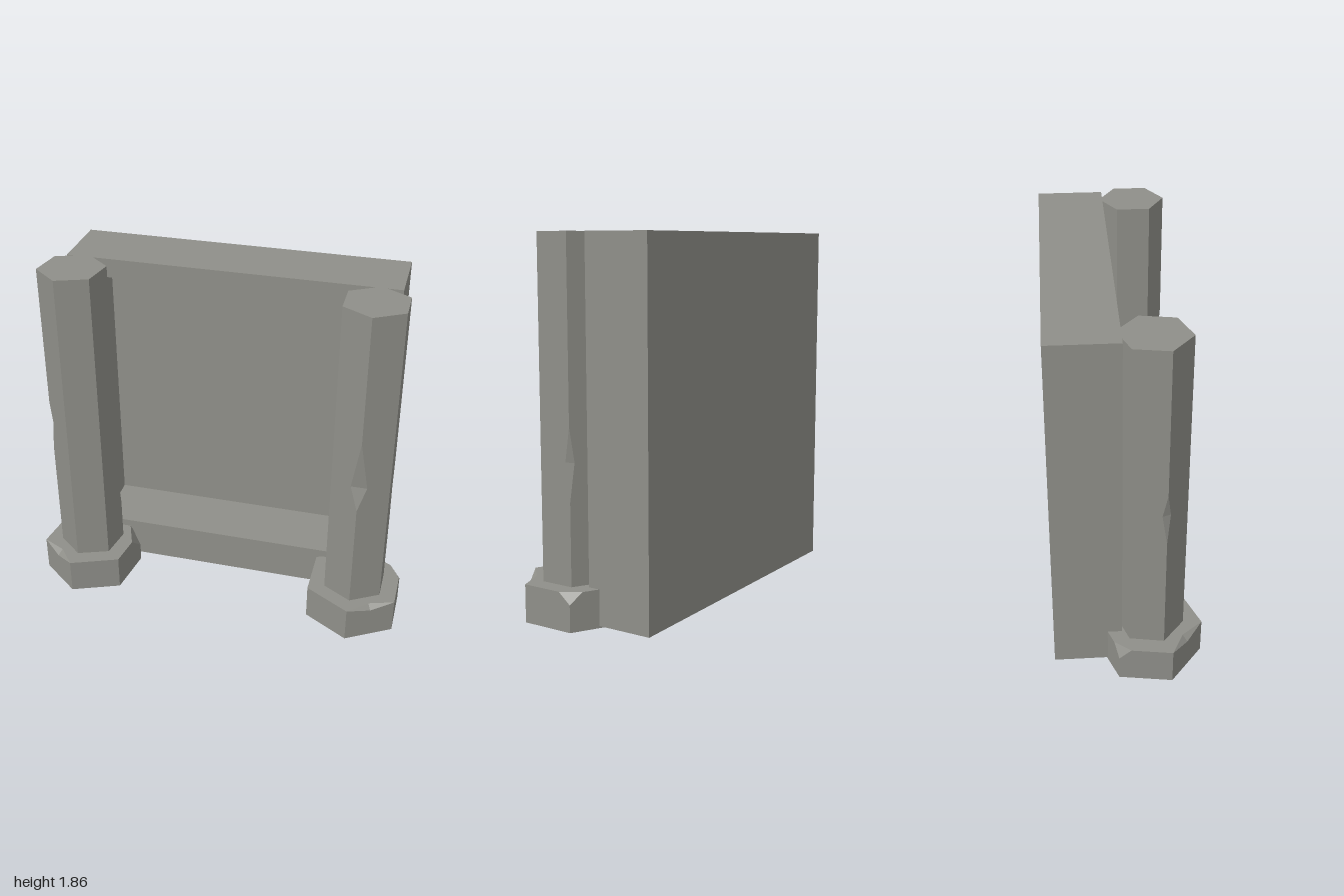
import * as THREE from 'three';

const stone = new THREE.MeshStandardMaterial({ color: 0x8f8f89, flatShading: true });
stone.name = 'grey stone';

// Skin a stack of equal-length rings (counter-clockwise from above) and cap both ends
function loft(name, rings) {
  const pos = [];
  const tri = (a, b, c) => {
    const area = b.clone().sub(a).cross(c.clone().sub(a)).length();
    if (area > 1e-7) for (const p of [a, b, c]) pos.push(p.x, p.y, p.z);
  };
  const n = rings[0].length;
  const centre = (r) => r.reduce((s, p) => s.add(p), new THREE.Vector3()).divideScalar(n);
  const low = rings[0], high = rings[rings.length - 1];
  const cLow = centre(low), cHigh = centre(high);
  for (let i = 0; i < n; i++) {
    const j = (i + 1) % n;
    for (let k = 0; k + 1 < rings.length; k++) {
      tri(rings[k][i], rings[k][j], rings[k + 1][j]);
      tri(rings[k][i], rings[k + 1][j], rings[k + 1][i]);
    }
    tri(cHigh, high[i], high[j]);
    tri(cLow, low[j], low[i]);
  }
  const geo = new THREE.BufferGeometry();
  geo.setAttribute('position', new THREE.Float32BufferAttribute(pos, 3));
  geo.computeVertexNormals();
  const mesh = new THREE.Mesh(geo, stone);
  mesh.name = name;
  return mesh;
}

// Corner k of a hexagon, k = 0 facing the front
function hexCorner(h, k, y) {
  const a = h.turn + (k * Math.PI) / 3;
  return new THREE.Vector3(h.x + h.r * Math.sin(a), y, h.z + h.r * Math.cos(a));
}

// Point a given distance from one corner towards another
const towards = (from, to, d) => from.clone().add(to.clone().sub(from).setLength(d));

// Hexagonal shaft whose upright edges may be chipped
function shaft(name, hex, y0, y1, chips) {
  const levels = [y0, y1, ...chips.flatMap((c) => [c.low, c.mid, c.high])].sort((a, b) => a - b);
  const rings = levels.map((y) => {
    const ring = [];
    for (let k = 0; k < 6; k++) {
      const c = chips.find((e) => e.corner === k);
      let w = 0;
      if (c && y > c.low && y < c.high) {
        w = c.width * (y < c.mid ? (y - c.low) / (c.mid - c.low) : (c.high - y) / (c.high - c.mid));
      }
      const p = hexCorner(hex, k, y);
      ring.push(towards(p, hexCorner(hex, k - 1, y), w), towards(p, hexCorner(hex, k + 1, y), w));
    }
    return ring;
  });
  return loft(name, rings);
}

// Hexagonal foot with broken top corners and dented top edges
function foot(name, hex, height, cornerChips, edgeDents) {
  const bottom = [], rim = [], top = [];
  for (let k = 0; k < 6; k++) {
    const [size, drop] = cornerChips[k] || [0, 0];
    const p = hexCorner(hex, k, height);
    const next = hexCorner(hex, k + 1, height);
    const before = towards(p, hexCorner(hex, k - 1, height), size);
    const after = towards(p, next, size);
    const lowered = p.clone().setY(height - drop);
    // middle of the edge, pushed in and down where dented
    const [inset, dip] = edgeDents[k] || [0, 0];
    const mid = p.clone().lerp(next, 0.5);
    const midTop = towards(mid, new THREE.Vector3(hex.x, height, hex.z), inset);
    const midRim = mid.clone().setY(height - dip);
    rim.push(before, lowered, after, midRim);
    top.push(before, before.clone().lerp(after, 0.5), after, midTop);
  }
  for (const p of rim) bottom.push(p.clone().setY(0));
  return loft(name, [bottom, rim, top]);
}

export function createModel() {
  const model = new THREE.Group();
  model.name = 'stone alcove';

  // Wall frame around the recess
  const outline = new THREE.Shape([
    new THREE.Vector2(-0.83, 0.01), new THREE.Vector2(0.87, 0.01),
    new THREE.Vector2(0.87, 1.86), new THREE.Vector2(-0.83, 1.86),
  ]);
  outline.holes.push(new THREE.Path([
    new THREE.Vector2(-0.72, 0.23), new THREE.Vector2(-0.72, 1.76),
    new THREE.Vector2(0.76, 1.76), new THREE.Vector2(0.76, 0.23),
  ]));
  const frameGeo = new THREE.ExtrudeGeometry(outline, { depth: 0.33, bevelEnabled: false });
  const frame = new THREE.Mesh(frameGeo, stone);
  frame.name = 'wallFrame';
  frame.position.z = -0.37;
  model.add(frame);

  // Thin wall closing the recess
  const back = new THREE.Mesh(new THREE.BoxGeometry(1.7, 1.85, 0.015), stone);
  back.name = 'backWall';
  back.position.set(0.02, 0.935, -0.3775);
  model.add(back);

  // Pillar on the model's right, slightly turned
  const rightPillar = new THREE.Group();
  rightPillar.name = 'rightPillar';
  rightPillar.add(
    shaft('rightShaft', { x: -0.75, z: 0.105, r: 0.173, turn: -0.17 }, 0.18, 1.86, [
      { corner: 2, low: 0.42, mid: 0.76, high: 1.12, width: 0.05 },
      { corner: 5, low: 0.82, mid: 0.98, high: 1.1, width: 0.025 },
    ]),
    foot('rightFoot', { x: -0.75, z: 0.105, r: 0.268, turn: -0.15 }, 0.19,
      { 2: [0.1, 0.09], 4: [0.06, 0.06] }, { 5: [0.03, 0.03] }),
  );
  model.add(rightPillar);

  // Pillar on the model's left
  const leftPillar = new THREE.Group();
  leftPillar.name = 'leftPillar';
  leftPillar.add(
    shaft('leftShaft', { x: 0.765, z: 0.117, r: 0.173, turn: 0 }, 0.18, 1.86, [
      { corner: 0, low: 0.78, mid: 0.91, high: 1.18, width: 0.048 },
      { corner: 2, low: 0.6, mid: 0.79, high: 0.96, width: 0.025 },
    ]),
    foot('leftFoot', { x: 0.765, z: 0.11, r: 0.271, turn: 0 }, 0.19,
      { 2: [0.065, 0.055] }, { 0: [0.03, 0.025] }),
  );
  model.add(leftPillar);

  return model;
}
